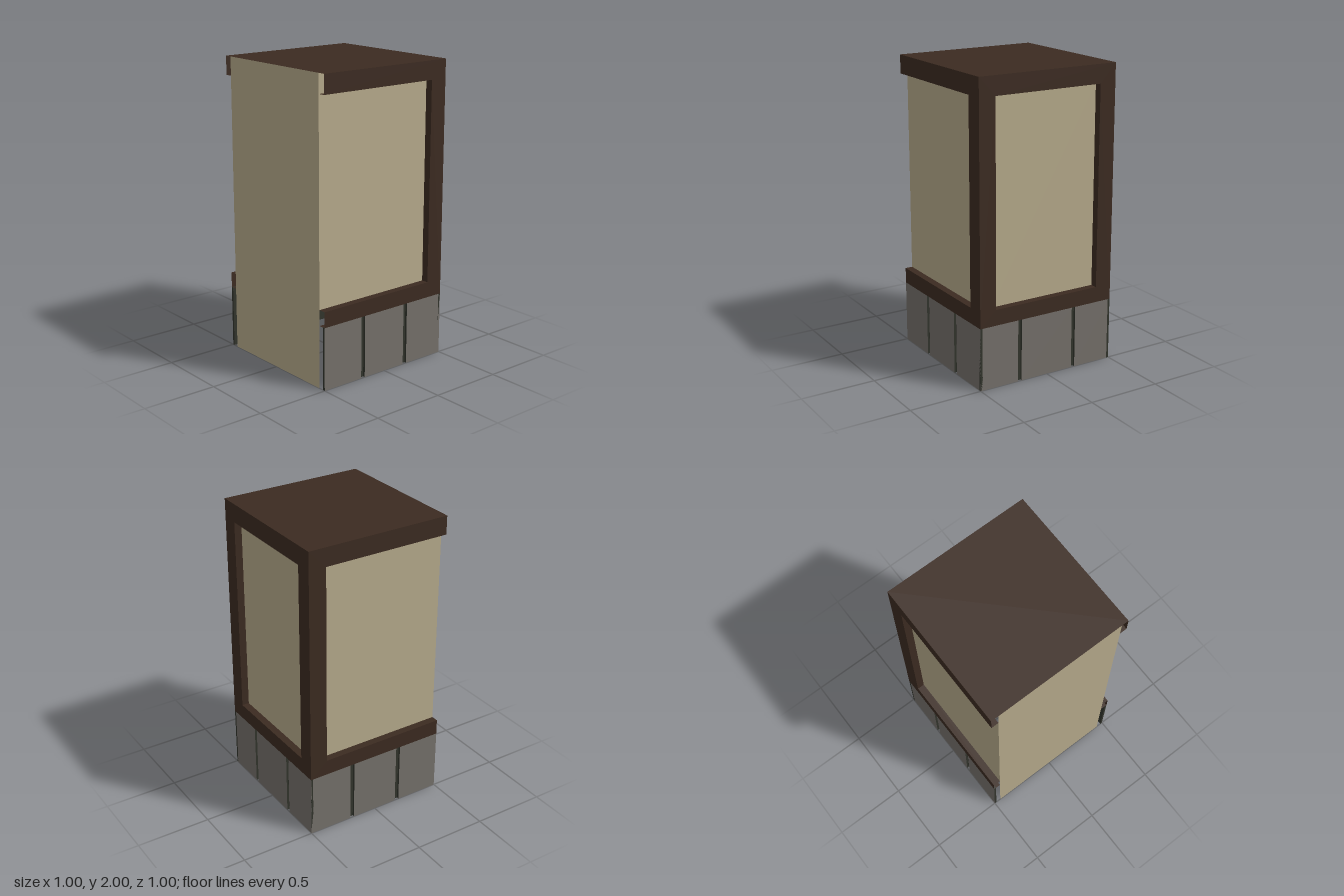
import * as THREE from 'three';

const mat = (name, color) => new THREE.MeshStandardMaterial({ name, color, side: THREE.DoubleSide });

export function createModel() {
  const wood = mat('dark wood', 0x3c2b21);
  const plaster = mat('cream plaster', 0xb6aa8b);
  const stone = mat('grey stone', 0x74706a);
  const mortar = mat('dark mortar', 0x32342c);

  const OUT = 0.5, IN = 0.45, BACK = 0.485; // outer face, recessed panel, mortar depth
  const Y0 = 0.42, Y1 = 0.525, Y2 = 1.875, TOP = 2;

  const root = new THREE.Group();
  root.name = 'wallEnd';

  const add = (parent, name, geo, material, x, y, z, rx = 0, ry = 0) => {
    const m = new THREE.Mesh(geo, material);
    m.name = name;
    m.position.set(x, y, z);
    m.rotation.set(rx, ry, 0);
    parent.add(m);
    return m;
  };
  const plane = (w, h) => new THREE.PlaneGeometry(w, h);
  const points = (list) => list.map(([x, y]) => new THREE.Vector2(x, y));

  // One framed wall facing +z; an open wall has no post at its -x end
  function wall(name, { open, post, joints, half }) {
    const g = new THREE.Group();
    g.name = name;
    const right = post, left = open ? -OUT : -post;
    const w = right - left, cx = (right + left) / 2;
    const mid = (IN + OUT) / 2, depth = OUT - IN;

    // Flat face of the timber frame
    let face;
    if (open) {
      face = new THREE.Shape(points([[-OUT, Y0], [OUT, Y0], [OUT, TOP], [-OUT, TOP],
        [-OUT, Y2], [right, Y2], [right, Y1], [-OUT, Y1]]));
    } else {
      face = new THREE.Shape(points([[-OUT, Y0], [OUT, Y0], [OUT, TOP], [-OUT, TOP]]));
      face.holes.push(new THREE.Path(points([[left, Y1], [left, Y2], [right, Y2], [right, Y1]])));
    }
    add(g, 'frameFace', new THREE.ShapeGeometry(face), wood, 0, 0, OUT);

    // Inner edges of the frame and underside of the sill
    add(g, 'sillTop', plane(w, depth), wood, cx, Y1, mid, -Math.PI / 2);
    add(g, 'headUnderside', plane(w, depth), wood, cx, Y2, mid, Math.PI / 2);
    add(g, 'sillUnderside', plane(1, depth), wood, 0, Y0, mid, Math.PI / 2);
    add(g, 'postEdge', plane(depth, Y2 - Y1), wood, right, (Y1 + Y2) / 2, mid, 0, -Math.PI / 2);
    if (!open) add(g, 'postEdge', plane(depth, Y2 - Y1), wood, left, (Y1 + Y2) / 2, mid, 0, Math.PI / 2);

    // Recessed plaster panel
    add(g, 'plasterPanel', plane(w, Y2 - Y1), plaster, cx, (Y1 + Y2) / 2, IN);

    // Stone footing: three slabs with mortar joints between them
    const end = open ? -OUT : -BACK;
    add(g, 'mortarBacking', plane(BACK - end, Y0), mortar, (BACK + end) / 2, Y0 / 2, BACK);
    const sides = [mortar, mortar, mortar, mortar, stone, mortar];
    const edges = [-OUT, -joints - half, -joints + half, joints - half, joints + half, OUT];
    for (let i = 0; i < 6; i += 2) {
      const sw = edges[i + 1] - edges[i];
      add(g, 'footingStone', new THREE.BoxGeometry(sw, Y0, OUT - BACK), sides,
        edges[i] + sw / 2, Y0 / 2, (OUT + BACK) / 2);
    }
    root.add(g);
    return g;
  }

  const long = { open: true, post: 0.38, joints: 0.182, half: 0.015 };
  wall('frontWall', long);
  wall('backWall', long).scale.z = -1;
  wall('endWall', { open: false, post: 0.385, joints: 0.207, half: 0.0135 }).rotation.y = Math.PI / 2;

  // Top cap and the plain plaster face on the open side
  add(root, 'topCap', plane(1, 1), wood, 0, TOP, 0, -Math.PI / 2);
  add(root, 'joiningPanel', plane(2 * IN, TOP), plaster, -OUT, TOP / 2, 0, 0, -Math.PI / 2);

  return root;
}
